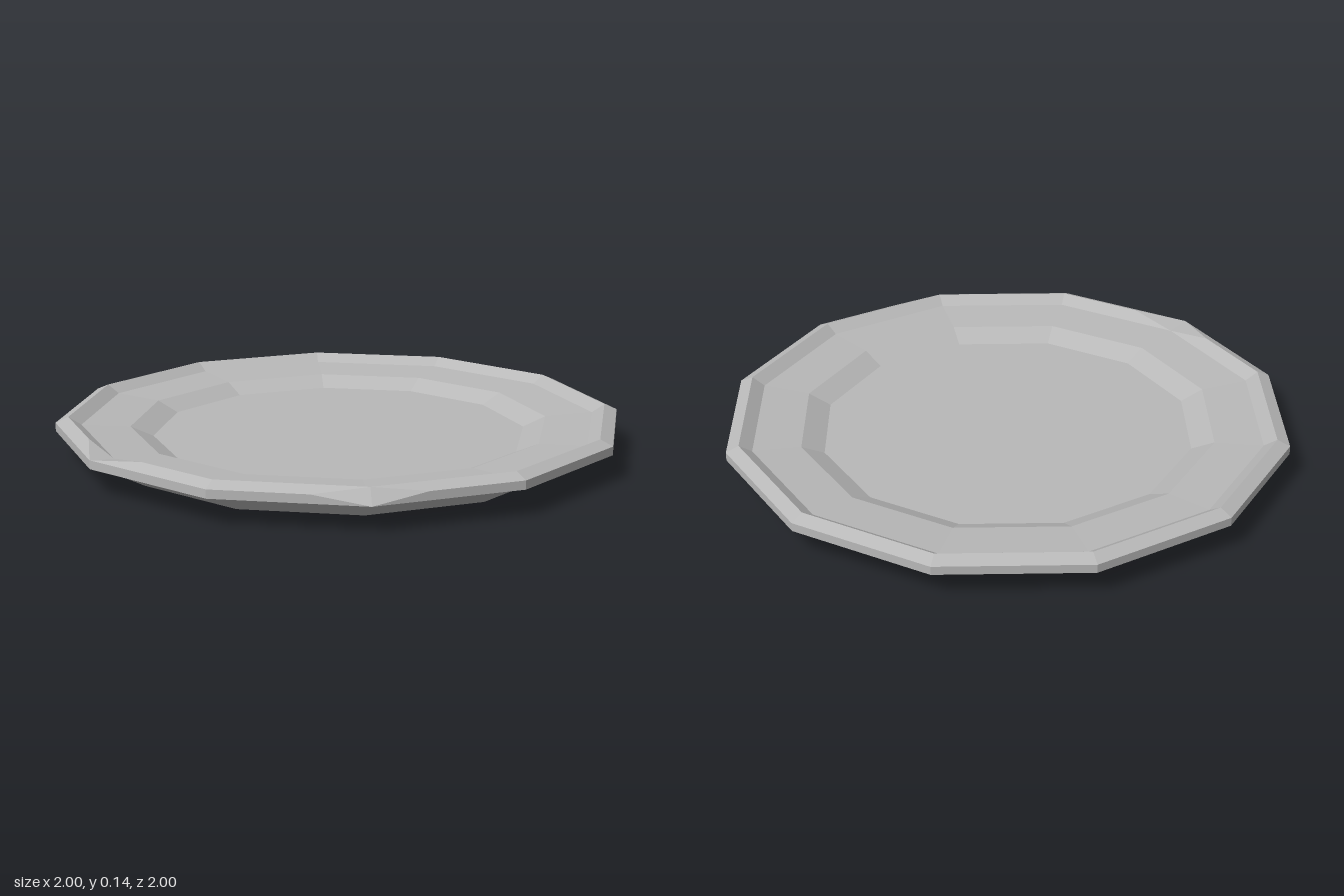
import * as THREE from 'three';

const SIDES = 12;
const SPLITS = [0, 0.37, 0.63]; // extra points along each side, so the chips stay local
const STEPS = SIDES * SPLITS.length;

// [radius, height] from the underside centre, around the rim, to the upper centre
const PROFILE = [
  [0, 0], [0.8, 0], [0.93, 0.07], [1, 0.09], [1, 0.12], [0.955, 0.14],
  [0.91, 0.111], [0.74, 0.1], [0.66, 0.064], [0, 0.062],
];
const RIM = 4, RIDGE = 5;

// Corner-specific replacements: two chips in the rim
const CHIPS = {
  [`${RIM},11`]: [1, 0.09],
  [`${RIDGE},9`]: [1, 0.12],
};

function corner(side, r, y) {
  const a = (side / SIDES) * Math.PI * 2;
  return new THREE.Vector3(r * Math.sin(a), y, r * Math.cos(a));
}

function ringPoint(ring, step) {
  const s = step % STEPS;
  const side = Math.floor(s / SPLITS.length), k = s % SPLITS.length;
  const [r, y] = PROFILE[ring];
  if (k === 0) return corner(side, ...(CHIPS[`${ring},${side}`] ?? [r, y]));
  return corner(side, r, y).lerp(corner(side + 1, r, y), SPLITS[k]);
}

function plateGeometry() {
  const positions = [];
  const tri = (a, b, c) => {
    const area = b.clone().sub(a).cross(c.clone().sub(a)).length();
    if (area > 1e-7) for (const p of [a, b, c]) positions.push(p.x, p.y, p.z);
  };
  for (let i = 0; i < PROFILE.length - 1; i++) {
    for (let j = 0; j < STEPS; j++) {
      const a = ringPoint(i, j), b = ringPoint(i, j + 1);
      const c = ringPoint(i + 1, j + 1), d = ringPoint(i + 1, j);
      // Mirror the diagonal about each corner so the chips are symmetrical
      if (j % SPLITS.length === 0) { tri(a, b, d); tri(b, c, d); }
      else { tri(a, b, c); tri(a, c, d); }
    }
  }
  const g = new THREE.BufferGeometry();
  g.setAttribute('position', new THREE.Float32BufferAttribute(positions, 3));
  g.computeVertexNormals(); // unshared corners give flat facets
  return g;
}

export function createModel() {
  const stone = new THREE.MeshStandardMaterial({ color: 0xb8b8b8 });
  stone.name = 'stoneGrey';
  stone.flatShading = true;
  const plate = new THREE.Mesh(plateGeometry(), stone);
  plate.name = 'chippedPlate';
  const group = new THREE.Group();
  group.name = 'plate';
  group.add(plate);
  return group;
}
